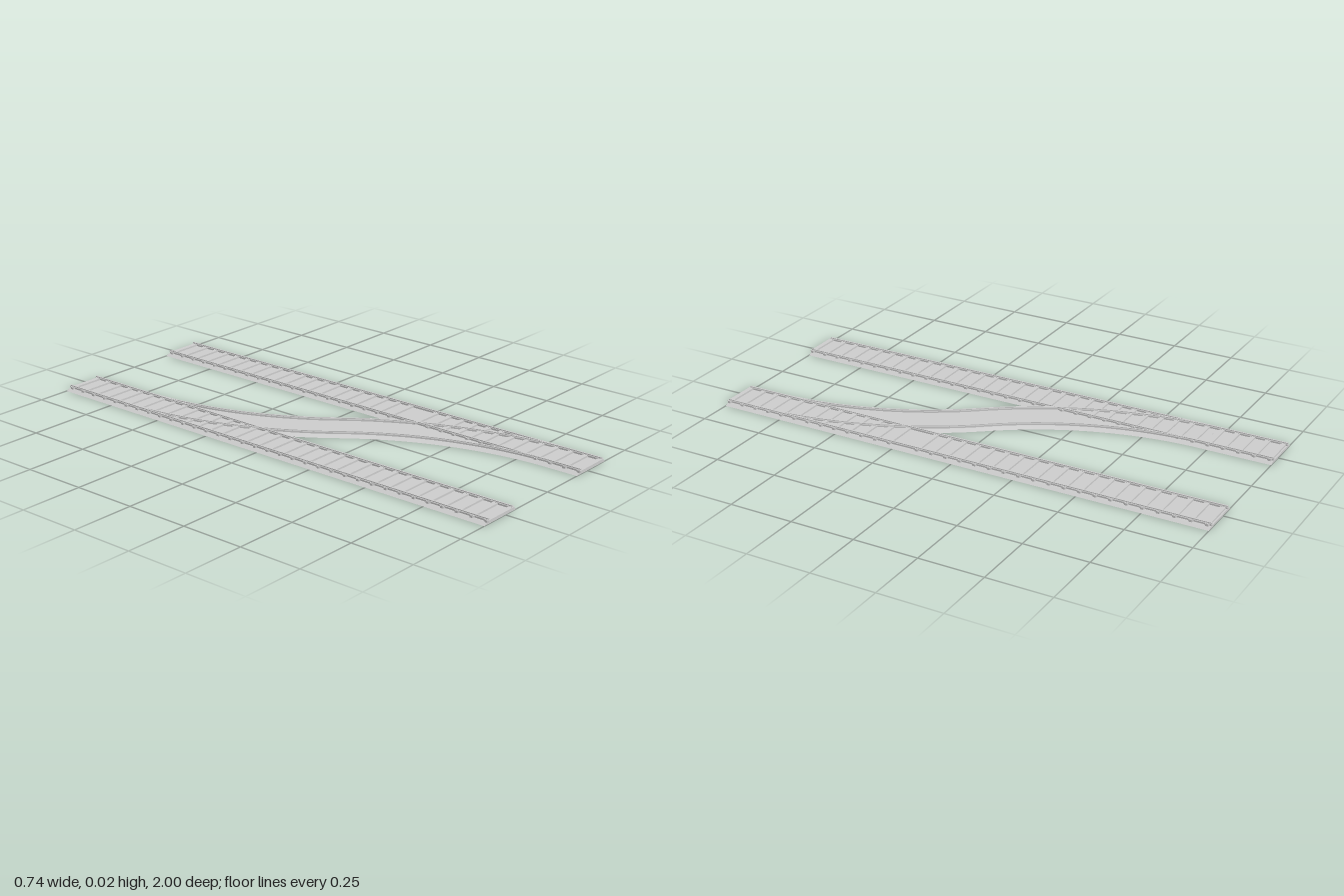
import * as THREE from 'three';
import { toCreasedNormals } from 'three/addons/utils/BufferGeometryUtils.js';

const TRACK_X = 0.277;   // centre line of each straight track
const GAUGE = 0.068;     // rail offset from the centre line
const RAIL_TOP = 0.02;
const material = new THREE.MeshStandardMaterial({ color: 0xcccccc, side: THREE.DoubleSide });

// Sweep a counter-clockwise closed profile [across, up] along stations {x, z, tx, tz}.
function sweep(profile, stations) {
  const pos = [], index = [], n = profile.length;
  for (const s of stations)
    for (const [u, y] of profile) pos.push(s.x + s.tz * u, y, s.z - s.tx * u);
  for (let i = 0; i < stations.length - 1; i++)
    for (let j = 0; j < n; j++) {
      const k = (j + 1) % n;
      const a = i * n + j, b = i * n + k, c = b + n, d = a + n;
      index.push(a, b, c, a, c, d);
    }
  // end caps
  const last = (stations.length - 1) * n;
  const outline = profile.map(([u, y]) => new THREE.Vector2(u, y));
  for (const [a, b, c] of THREE.ShapeUtils.triangulateShape(outline, [])) {
    index.push(a, c, b, last + a, last + b, last + c);
  }
  const g = new THREE.BufferGeometry();
  g.setAttribute('position', new THREE.Float32BufferAttribute(pos, 3));
  g.setIndex(index);
  return toCreasedNormals(g, 0.35);
}

// Ballast bed with sloping shoulders
const bedProfile = (lift) => [
  [-0.093, lift], [0.093, lift], [0.083, 0.0045 + lift], [0.075, 0.008 + lift],
  [-0.075, 0.008 + lift], [-0.083, 0.0045 + lift],
];

// Rail with a wider foot and a narrow head
function railProfile(offset, drop = 0) {
  const t = RAIL_TOP - drop;
  return [
    [-0.003, 0.006], [0.003, 0.006], [0.003, 0.0145], [0.006, 0.0145], [0.006, 0.016],
    [0.003, 0.0165], [0.003, t], [-0.003, t], [-0.003, 0.0165],
    [-0.006, 0.016], [-0.006, 0.0145], [-0.003, 0.0145],
  ].map(([u, y]) => [u + offset, y]);
}

// Two equal arcs joining the straight tracks
function crossoverPath(steps = 24) {
  const R = 1.3, midZ = 0.08;
  const angle = Math.acos(1 - TRACK_X / R);
  const half = R * Math.sin(angle);
  const list = [];
  for (let i = 0; i <= 2 * steps; i++) {
    const first = i <= steps;
    const a = angle * (first ? i : 2 * steps - i) / steps;
    const x = -TRACK_X + R * (1 - Math.cos(a)), dz = -half + R * Math.sin(a);
    list.push({
      x: first ? x : -x, z: midZ + (first ? dz : -dz),
      tx: Math.sin(a), tz: Math.cos(a),
    });
  }
  return list;
}

// Sleeper: a low bar with clipped corners
function sleeperGeometry() {
  const w = 0.078, d = 0.009, c = 0.004;
  const shape = new THREE.Shape([
    [-w + c, -d], [w - c, -d], [w, -d + c], [w, d - c],
    [w - c, d], [-w + c, d], [-w, d - c], [-w, -d + c],
  ].map(([x, y]) => new THREE.Vector2(x, y)));
  const g = new THREE.ExtrudeGeometry(shape, { depth: 0.009, bevelEnabled: false });
  return g.rotateX(-Math.PI / 2).translate(0, 0.006, 0);
}

export function createModel() {
  const root = new THREE.Group();
  root.name = 'trackCrossover';
  const add = (parent, name, geometry) => {
    const mesh = new THREE.Mesh(geometry, material);
    mesh.name = name;
    parent.add(mesh);
    return mesh;
  };
  const sleeper = sleeperGeometry();

  // Straight tracks
  for (const side of [-1, 1]) {
    const track = new THREE.Group();
    track.name = side > 0 ? 'leftTrack' : 'rightTrack';
    root.add(track);
    const path = [-1, 1].map((z) => ({ x: side * TRACK_X, z, tx: 0, tz: 1 }));
    add(track, 'ballastBed', sweep(bedProfile(0), path));
    for (const r of [-1, 1]) add(track, 'rail', sweep(railProfile(r * GAUGE), path));
    for (let i = 0; i < 34; i++) {
      if (side > 0 && i === 20) continue; // open gap where the curved rail crosses
      add(track, 'sleeper', sleeper).position.set(side * TRACK_X, 0, -0.985 + i * 0.06);
    }
  }

  // Curved connecting track, a plain deck with two rails
  const crossover = new THREE.Group();
  crossover.name = 'crossoverTrack';
  root.add(crossover);
  const curve = crossoverPath();
  add(crossover, 'crossoverBed', sweep(bedProfile(0.0003), curve));
  for (const r of [-1, 1])
    add(crossover, 'crossoverRail', sweep(railProfile(r * GAUGE, 0.0003), curve));
  return root;
}
